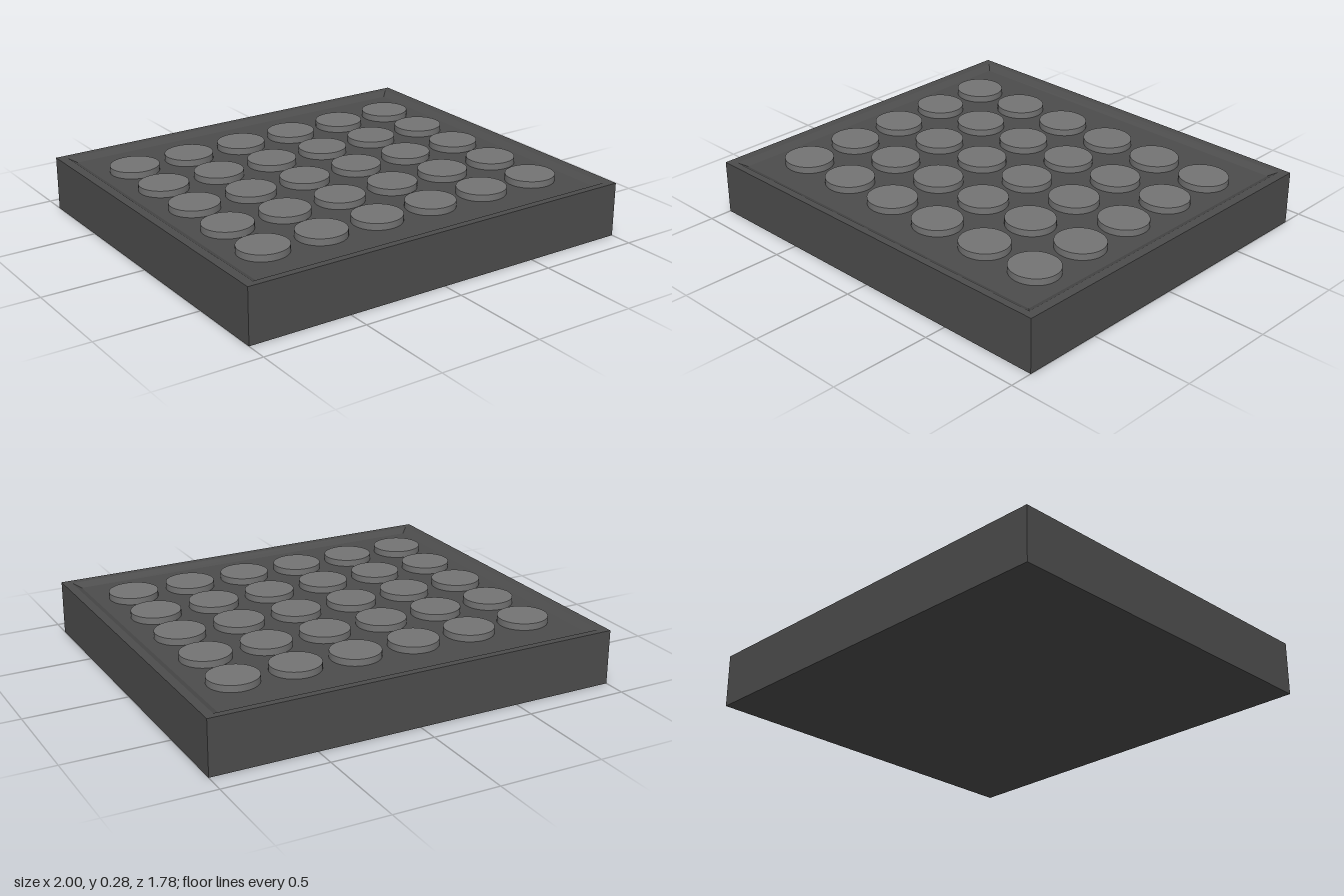
import * as THREE from 'three';

// Closed shell from stacked rectangular rings [halfX, y, halfZ], capped at both ends
function rectShell(rings) {
  const pos = [];
  const corners = ([x, y, z]) => [[-x, y, z], [x, y, z], [x, y, -z], [-x, y, -z]];
  const quad = (a, b, c, d) => pos.push(...a, ...b, ...c, ...a, ...c, ...d);
  const loops = rings.map(corners);
  for (let i = 0; i < loops.length - 1; i++) {
    for (let k = 0; k < 4; k++) {
      const n = (k + 1) % 4;
      quad(loops[i][k], loops[i][n], loops[i + 1][n], loops[i + 1][k]);
    }
  }
  quad(...loops[0].slice().reverse());
  quad(...loops[loops.length - 1]);
  const geo = new THREE.BufferGeometry();
  geo.setAttribute('position', new THREE.Float32BufferAttribute(pos, 3));
  geo.computeVertexNormals();
  return geo;
}

export function createModel() {
  const model = new THREE.Group();
  model.name = 'studdedTray';
  const trayMat = new THREE.MeshStandardMaterial({ color: 0x4c4c4c });
  const studMat = new THREE.MeshStandardMaterial({ color: 0x747474 });

  // Slab with a shallow, sloped-edge recess in its top
  const rim = 0.263, floor = 0.243;
  const tray = new THREE.Mesh(rectShell([
    [1, 0, 0.89],
    [1, rim, 0.89],
    [0.957, rim, 0.855],
    [0.92, floor, 0.82],
  ]), trayMat);
  tray.name = 'tray';
  model.add(tray);

  // Grid of slightly oval flat studs standing on the recess floor
  const top = 0.275, base = floor - 0.005;
  const studGeo = new THREE.CylinderGeometry(1, 1, top - base, 48);
  studGeo.scale(0.119, 1, 0.114);
  const studs = new THREE.Group();
  studs.name = 'studs';
  for (let row = 0; row < 5; row++) {
    for (let col = 0; col < 6; col++) {
      const stud = new THREE.Mesh(studGeo, studMat);
      stud.name = `stud_${row + 1}_${col + 1}`;
      stud.position.set((col - 2.5) * 0.2955 - 0.002, (top + base) / 2, (row - 2) * 0.2885 + 0.011);
      studs.add(stud);
    }
  }
  model.add(studs);
  return model;
}
